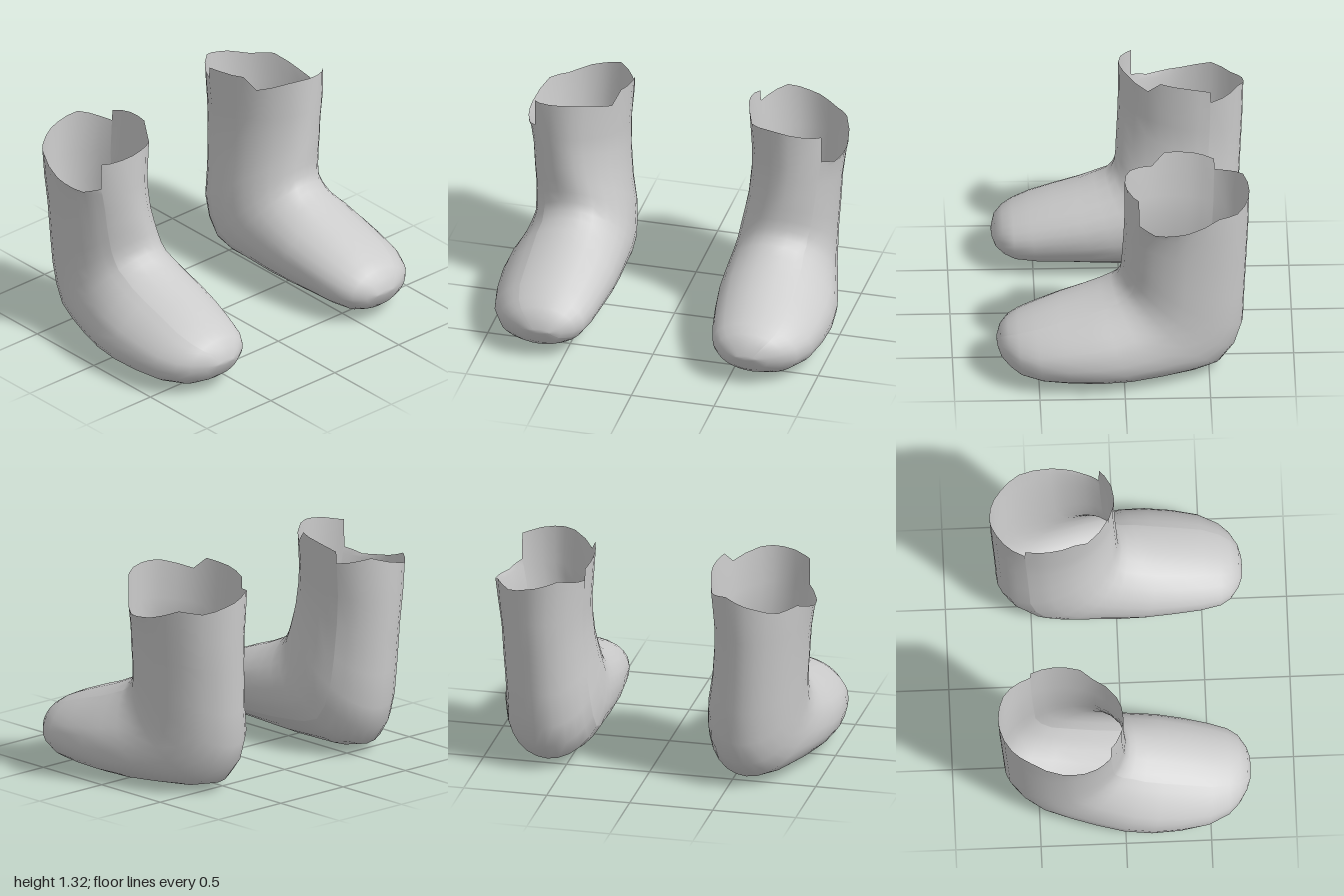
import * as THREE from 'three';

// Sections from toe to shaft: front/top point (z, y), back/sole point (z, y),
// inner x, outer x, outward bulge low on the side, sideways lean of the front
const SECTIONS = [
  [0.742, 0.21, 0.740, 0.18, 0.56, 0.69, 0.00, 0.00],
  [0.725, 0.28, 0.715, 0.11, 0.50, 0.76, 0.00, 0.00],
  [0.68, 0.325, 0.665, 0.07, 0.43, 0.84, 0.03, -0.01],
  [0.62, 0.36, 0.60, 0.035, 0.39, 0.90, 0.06, -0.02],
  [0.52, 0.405, 0.47, 0.016, 0.36, 0.955, 0.12, -0.03],
  [0.38, 0.46, 0.30, 0.010, 0.335, 0.98, 0.16, -0.04],
  [0.24, 0.51, 0.12, 0.004, 0.315, 0.99, 0.18, -0.04],
  [0.14, 0.555, -0.06, 0.0, 0.31, 0.98, 0.18, -0.03],
  [0.075, 0.59, -0.25, 0.008, 0.31, 0.95, 0.15, -0.02],
  [0.04, 0.625, -0.43, 0.02, 0.31, 0.925, 0.10, 0.00],
  [0.02, 0.67, -0.57, 0.055, 0.315, 0.905, 0.05, 0.01],
  [0.013, 0.73, -0.655, 0.16, 0.325, 0.90, 0.00, 0.02],
  [0.01, 0.80, -0.70, 0.30, 0.34, 0.90, 0.00, 0.03],
  [0.005, 0.88, -0.708, 0.50, 0.365, 0.91, 0.00, 0.03],
  [0.0, 0.98, -0.72, 0.75, 0.38, 0.92, 0.00, 0.03],
  [-0.003, 1.07, -0.73, 0.95, 0.38, 0.94, 0.00, 0.03],
  [-0.005, 1.29, -0.737, 1.20, 0.36, 0.955, 0.00, 0.03],
];

// Torn rim: angle in degrees (0 outer, 90 front, 180 inner, 270 back), height
const RIM = [
  [0, 1.09], [10, 1.08], [21, 1.07], [32, 1.065], [42, 1.085], [51, 1.10],
  [51.5, 1.265], [60, 1.27], [75, 1.285], [90, 1.295], [102, 1.30], [115, 1.295],
  [132, 1.27], [147, 1.245], [160, 1.315], [172, 1.305], [185, 1.295],
  [196, 1.28], [207, 1.26], [207.5, 1.19], [220, 1.20], [232, 1.215],
  [245, 1.23], [258, 1.21], [270, 1.19], [282, 1.175], [294, 1.155],
  [307, 1.14], [318, 1.148], [330, 1.155], [345, 1.12],
];

// Skin the sections into one open, seamless shell; side is +1 left, -1 right
function bootGeometry(side) {
  const pos = [], index = [], n = RIM.length;
  SECTIONS.forEach(([fz, fy, bz, by, xin, xout, bulge, lean], i) => {
    for (const [deg, rimY] of RIM) {
      const a = THREE.MathUtils.degToRad(deg), s = Math.sin(a), c = Math.cos(a);
      const k = c > 0 ? bulge : bulge * 0.3;
      const x = (xin + xout) / 2 + (xout - xin) / 2 * c * (1 - k * s) + lean * s;
      const y = i === SECTIONS.length - 1 ? rimY : (fy + by) / 2 + (fy - by) / 2 * s;
      pos.push(side * x, y, (fz + bz) / 2 + (fz - bz) / 2 * s);
    }
  });
  const tri = (a, b, c) => (side > 0 ? index.push(a, b, c) : index.push(a, c, b));
  for (let i = 0; i < SECTIONS.length - 1; i++) {
    for (let j = 0; j < n; j++) {
      const a = i * n + j, b = i * n + (j + 1) % n;
      tri(a, a + n, b);
      tri(b, a + n, b + n);
    }
  }
  // Close the tip of the toe
  const tip = pos.length / 3;
  pos.push(side * 0.625, 0.195, 0.744);
  for (let j = 0; j < n; j++) tri(tip, j, (j + 1) % n);

  const g = new THREE.BufferGeometry();
  g.setAttribute('position', new THREE.Float32BufferAttribute(pos, 3));
  g.setIndex(index);
  g.computeVertexNormals();
  return g;
}

export function createModel() {
  const group = new THREE.Group();
  group.name = 'boots';
  const material = new THREE.MeshStandardMaterial({ color: 0xcccccc, side: THREE.DoubleSide });
  material.name = 'light grey';
  for (const [name, side] of [['leftBoot', 1], ['rightBoot', -1]]) {
    const boot = new THREE.Mesh(bootGeometry(side), material);
    boot.name = name;
    group.add(boot);
  }
  return group;
}
